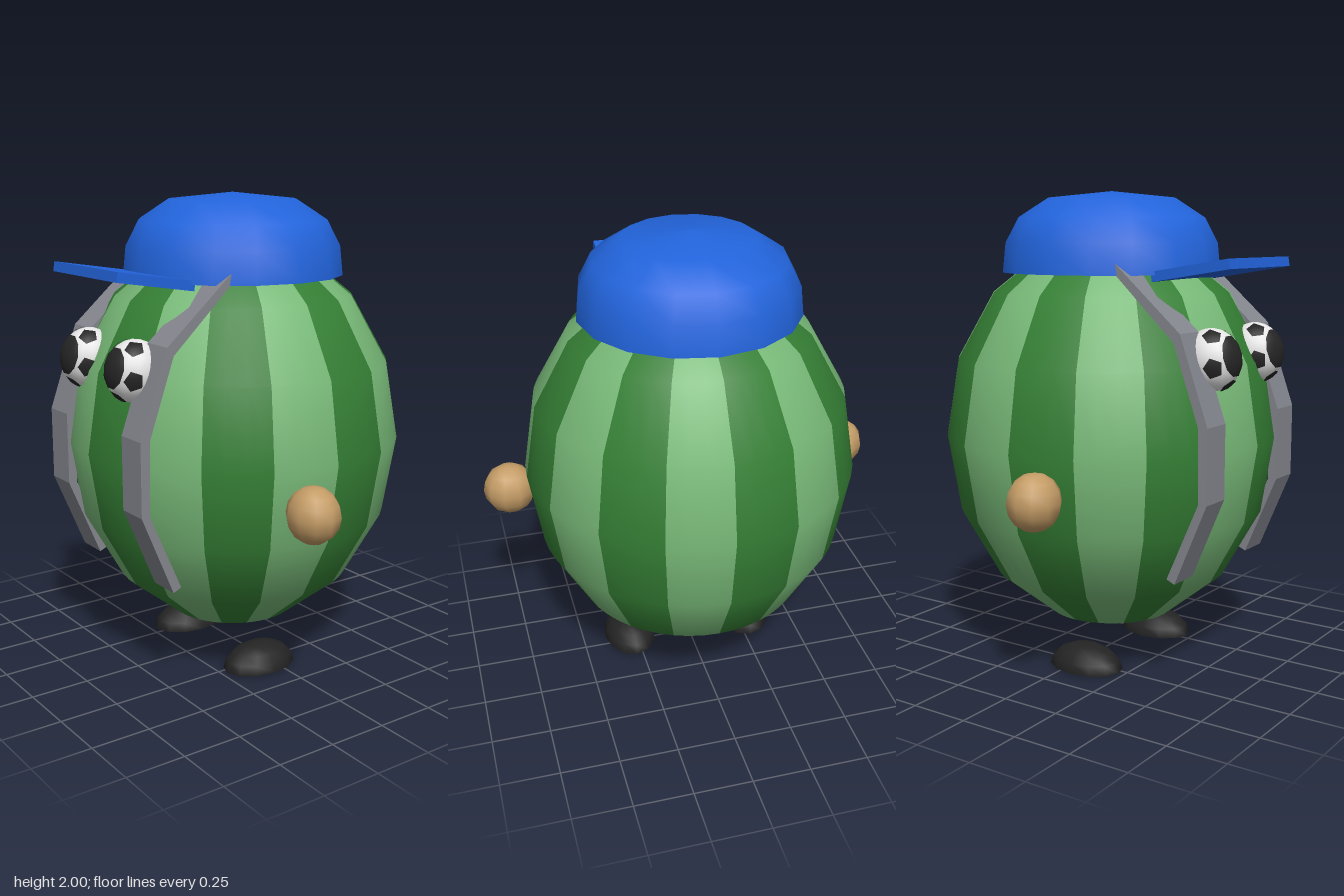
import * as THREE from 'three';

const mat = (name, color) => {
  const m = new THREE.MeshStandardMaterial({ color });
  m.name = name;
  return m;
};

export function createModel() {
  const root = new THREE.Group();
  root.name = 'melonCharacter';
  const lightGreen = mat('lightGreen', 0x78b978);
  const darkGreen = mat('darkGreen', 0x357f35);
  const blue = mat('capBlue', 0x2264dc);
  const grey = mat('strapGrey', 0x85878f);
  const tan = mat('handTan', 0xc49c66);
  const black = mat('black', 0x242424);
  const white = mat('eyeWhite', 0xe6e6e6);

  const add = (name, geometry, material, parent = root) => {
    const mesh = new THREE.Mesh(geometry, material);
    mesh.name = name;
    parent.add(mesh);
    return mesh;
  };

  // Striped body: sixteen alternating wedges of an egg-shaped sphere
  const body = new THREE.Group();
  body.name = 'body';
  body.scale.set(0.71, 0.853, 0.71);
  body.position.y = 0.978;
  root.add(body);
  const step = Math.PI / 8;
  for (let i = 0; i < 16; i++) {
    const wedge = new THREE.SphereGeometry(1, 1, 8, i * step, step);
    add('stripe', wedge, i % 2 ? lightGreen : darkGreen, body);
  }

  // Cap: rounded crown with a closed underside, and a tilted brim
  const crown = [[0.465, 1.662], [0.452, 1.785], [0.397, 1.89], [0.27, 1.972], [0, 2]];
  add('capCrown', new THREE.LatheGeometry(crown.map(p => new THREE.Vector2(...p)), 16), blue);
  const under = add('capUnderside', new THREE.CircleGeometry(0.465, 16), blue);
  under.rotation.x = Math.PI / 2;
  under.position.y = 1.662;
  const brim = add('capBrim', new THREE.BoxGeometry(0.51, 0.04, 0.35), blue);
  brim.position.set(0, 1.684, 0.533);
  brim.rotation.x = -0.16;

  // Strap outline in z, y: down the outside, back up the inside
  const outline = [
    [0.265, 1.708], [0.56, 1.45], [0.685, 1.1], [0.685, 0.8], [0.546, 0.467],
    [0.51, 0.483], [0.648, 0.8], [0.643, 1.1], [0.532, 1.415], [0.265, 1.666],
  ];
  const strapShape = new THREE.Shape(outline.map(p => new THREE.Vector2(...p)));
  const strap = new THREE.ExtrudeGeometry(strapShape, { depth: 0.14, bevelEnabled: false });
  strap.translate(0, 0, -0.07).rotateY(-Math.PI / 2);

  const foot = new THREE.SphereGeometry(1, 12, 4, 0, Math.PI * 2, 0, Math.PI / 2);
  const sole = new THREE.CircleGeometry(1, 12).rotateX(Math.PI / 2);

  for (const side of [1, -1]) {
    const label = side > 0 ? 'left' : 'right';
    add(label + 'Strap', strap, grey).position.x = side * 0.296;

    const hand = add(label + 'Hand', new THREE.SphereGeometry(0.114, 10, 8), tan);
    hand.position.set(side * 0.771, 0.828, 0.173);
    hand.scale.z = 0.92;

    const shoe = new THREE.Group();
    shoe.name = label + 'Foot';
    shoe.position.set(side * 0.278, 0, 0.058);
    shoe.scale.set(0.118, 0.102, 0.168);
    add('footTop', foot, black, shoe);
    add('footSole', sole, black, shoe);
    root.add(shoe);

    // Eye: white ball, large pupil and a ring of small dark patches
    const eye = new THREE.Group();
    eye.name = label + 'Eye';
    eye.position.set(side * 0.183, 1.338, 0.598);
    eye.scale.set(0.112, 0.125, 0.115);
    eye.rotation.x = -0.22;
    root.add(eye);
    add('eyeball', new THREE.SphereGeometry(1, 16, 12), white, eye);
    const pupil = new THREE.SphereGeometry(1.03, 10, 4, 0, Math.PI * 2, 0, 0.7);
    add('pupil', pupil.rotateX(Math.PI / 2), black, eye);
    const up = new THREE.Vector3(0, 1, 0);
    for (let k = 0; k < 5; k++) {
      const a = -Math.PI / 2 + k * Math.PI * 0.4;
      const tilt = 1.107;
      const dir = new THREE.Vector3(
        Math.cos(a) * Math.sin(tilt), Math.sin(a) * Math.sin(tilt), Math.cos(tilt));
      const patch = new THREE.SphereGeometry(1.03, 5, 3, 0, Math.PI * 2, 0, 0.34);
      add('eyePatch', patch, black, eye).quaternion.setFromUnitVectors(up, dir);
    }
  }
  return root;
}
